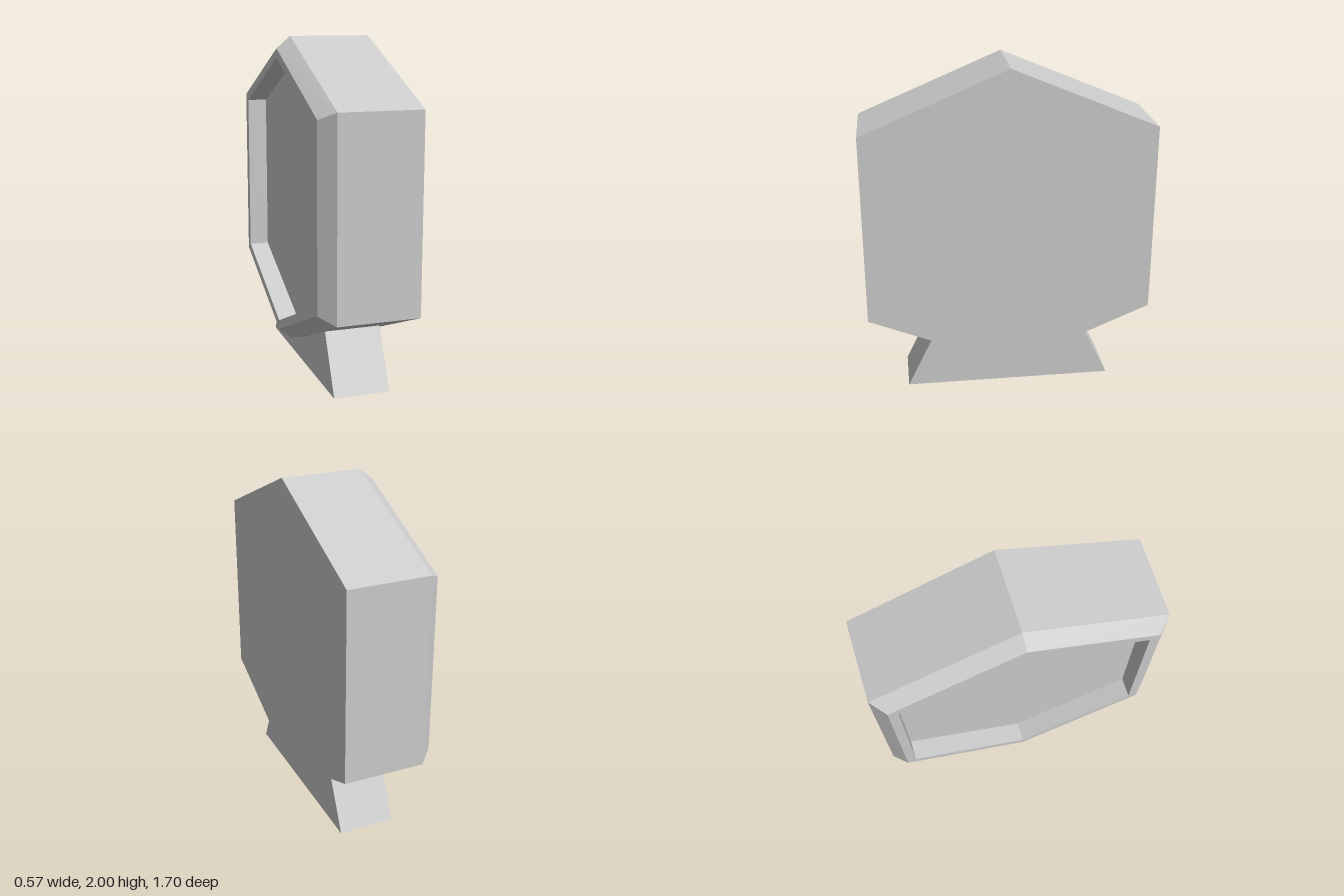
import * as THREE from 'three';

const CENTRE_Y = 1.075;
const material = new THREE.MeshStandardMaterial({ color: 0xcccccc, flatShading: true });

// Six corners of an upright hexagon at x: peak height, corner height, half width
function hexRing([x, peak, corner, half]) {
  return [[peak, 0], [corner, half], [-corner, half], [-peak, 0], [-corner, -half], [corner, -half]]
    .map(([y, z]) => [x, CENTRE_Y + y, z]);
}

// Skin a run of hexagons; a ring of size zero closes an end
function hexLoft(name, sections) {
  const rings = sections.map(hexRing);
  const positions = [];
  for (let s = 0; s < rings.length - 1; s++) {
    const a = rings[s], b = rings[s + 1];
    for (let i = 0; i < 6; i++) {
      const j = (i + 1) % 6;
      if (sections[s][1] > 0) positions.push(...a[i], ...b[i], ...a[j]);
      if (sections[s + 1][1] > 0) positions.push(...a[j], ...b[i], ...b[j]);
    }
  }
  const geometry = new THREE.BufferGeometry();
  geometry.setAttribute('position', new THREE.Float32BufferAttribute(positions, 3));
  geometry.computeVertexNormals();
  const mesh = new THREE.Mesh(geometry, material);
  mesh.name = name;
  return mesh;
}

export function createModel() {
  const model = new THREE.Group();
  model.name = 'hexagonalDisplay';

  const outer = [0.925, 0.568, 0.85];
  const rimOuter = [0.855, 0.525, 0.77];
  const rimInner = [0.80, 0.49, 0.715];

  // Housing: flat back, straight sides, bevel and flat rim
  model.add(hexLoft('housing', [
    [0.283, 0, 0, 0],
    [0.283, ...outer],
    [-0.2, ...outer],
    [-0.283, ...rimOuter],
    [-0.283, ...rimInner],
  ]));

  // Recessed panel: inner walls and floor
  model.add(hexLoft('recessedPanel', [
    [-0.283, ...rimInner],
    [-0.163, ...rimInner],
    [-0.163, 0, 0, 0],
  ]));

  // Stand: tapered foot whose top is buried in the housing
  const profile = new THREE.Shape([[-0.625, 0], [0.625, 0], [0.43, 0.4], [-0.43, 0.4]]
    .map(([z, y]) => new THREE.Vector2(z, y)));
  const footGeometry = new THREE.ExtrudeGeometry(profile, { depth: 0.335, bevelEnabled: false });
  footGeometry.rotateY(Math.PI / 2).translate(-0.137, 0, 0);
  const stand = new THREE.Mesh(footGeometry, material);
  stand.name = 'stand';
  model.add(stand);

  return model;
}
